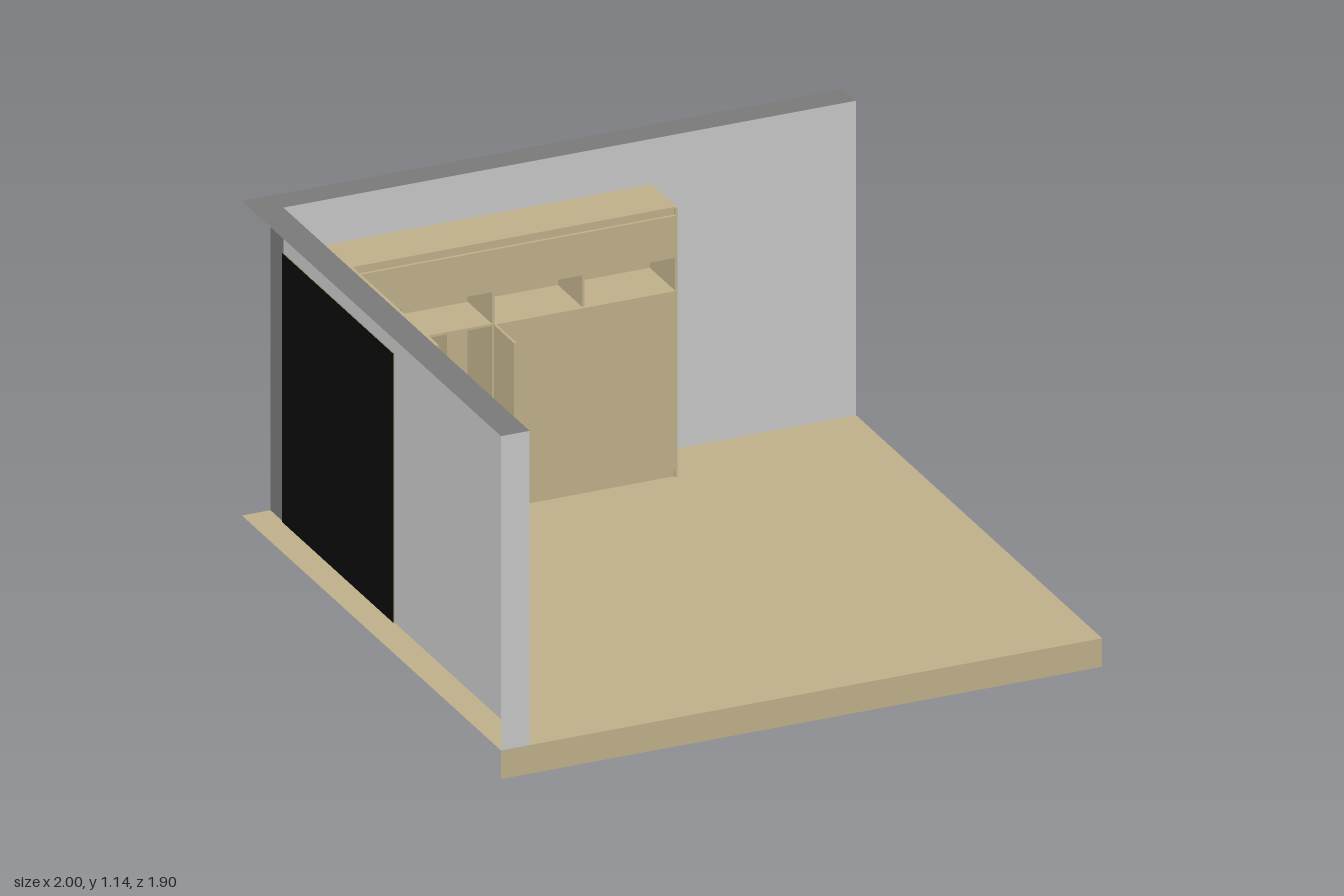
import * as THREE from 'three';

const mat = (name, color, side = THREE.FrontSide) => {
  const m = new THREE.MeshStandardMaterial({ color, side });
  m.name = name;
  return m;
};

export function createModel() {
  const wood = mat('wood', 0xbeaf89, THREE.DoubleSide);
  const paint = mat('wall paint', 0xc6c6c6, THREE.DoubleSide);
  const cut = mat('wall edge grey', 0x787878, THREE.DoubleSide);
  const black = mat('black backing', 0x0a0a0a);

  const model = new THREE.Group();
  model.name = 'roomCorner';
  let parent = model;

  const group = (name) => {
    parent = new THREE.Group();
    parent.name = name;
    model.add(parent);
  };
  // Box or, where one extent is zero, a single sheet, given by its limits
  const part = (name, m, x0, x1, y0, y1, z0, z1) => {
    const w = x1 - x0, h = y1 - y0, d = z1 - z0;
    let geo;
    if (w === 0) geo = new THREE.PlaneGeometry(d, h).rotateY(Math.PI / 2);
    else if (h === 0) geo = new THREE.PlaneGeometry(w, d).rotateX(-Math.PI / 2);
    else if (d === 0) geo = new THREE.PlaneGeometry(w, h);
    else geo = new THREE.BoxGeometry(w, h, d);
    const mesh = new THREE.Mesh(geo, m);
    mesh.name = name;
    mesh.position.set((x0 + x1) / 2, (y0 + y1) / 2, (z0 + z1) / 2);
    parent.add(mesh);
    return mesh;
  };

  const F = 0.095, H = 1.14, WX = -0.905, WZ = -0.855; // floor, wall top, inner wall faces
  const T = 0.99, t = 0.008;                           // cabinet top, board thickness

  // Floor: top and the two exposed edges, open below
  group('floor');
  part('floorTop', wood, -1, 1, F, F, -0.95, 0.95);
  part('floorFrontEdge', wood, -1, 1, 0, F, 0.95, 0.95);
  part('floorRightEdge', wood, 1, 1, 0, F, -0.95, 0.95);

  // Walls: inner faces, caps and ends, open on the outside
  group('walls');
  part('backWallFace', paint, WX, 1, F, H, WZ, WZ);
  part('sideWallFace', paint, WX, WX, F, H, WZ, 0.95);
  part('sideWallEnd', paint, -1, WX, F, H, 0.95, 0.95);
  part('backWallCap', cut, -1, 1, H, H, -0.95, WZ);
  part('sideWallCap', cut, -1, WX, H, H, WZ, 0.95);
  part('backWallEnd', cut, 1, 1, F, H, -0.95, WZ);
  part('backWallCornerEnd', cut, WX, WX, F, H, -0.95, WZ);

  // Dark cabinet backs seen through the open outer side of the walls
  group('cabinetBacking');
  part('backRunBacking', black, WX, 0.32, F, T, WZ - 0.004, WZ - 0.004).rotation.y = Math.PI;
  part('sideRunBacking', black, WX - 0.004, WX - 0.004, F, T, WZ, -0.04).rotation.y = Math.PI;

  const niche0 = 0.715, niche1 = 0.825, low = 0.235, plinth = 0.12, upper = 0.965;

  // Cabinet along the back wall
  group('backCabinet');
  const bz = -0.672, bf = -0.662, bx0 = -0.757, bx1 = 0.32;
  part('endPanel', wood, bx1 - t, bx1, F, T, WZ, bz + 0.008);
  part('backPanel', wood, WX, bx1 - t, F, T, WZ, WZ + 0.005);
  part('topBoard', wood, WX, bx1 - t, upper, T, WZ, bz);
  part('baseBoard', wood, WX, bx1 - t, F, plinth, WZ, bz);
  for (const y of [low, niche0, niche1 + t])
    part('shelfBoard', wood, WX, bx1 - t, y - t, y, WZ, bz);
  for (const x of [-0.59, -0.29, 0.01])
    part('nicheDivider', wood, x - t / 2, x + t / 2, niche0, niche1, WZ, bz);
  part('upperFront', wood, bx0, 0.315, niche1, upper, bz, bf);
  part('lowerFront', wood, bx0, 0.315, plinth, low, bz, bf);
  part('cornerDoor', wood, bx0, -0.592, low, niche0, bz, bf);
  part('wideDoor', wood, -0.288, 0.315, low, niche0, bz, bf);

  // Open compartment with its divider, shelves and two swung doors
  group('openCompartment');
  for (const x of [-0.59, -0.44, -0.29])
    part('compartmentSide', wood, x - t / 2, x + t / 2, low, niche0 - t, WZ, bz);
  for (const y of [0.48, 0.6])
    part('innerShelf', wood, -0.59, -0.44, y - t / 2, y + t / 2, WZ, bz);
  for (const x of [-0.59, -0.288])
    part('openDoor', wood, x - 0.004, x + 0.004, low, niche0, bf, -0.515);

  // Cabinet along the side wall
  group('sideCabinet');
  const sx = -0.757, sf = -0.748, sz0 = bz, sz1 = -0.04;
  part('endPanel', wood, WX, sx, F, T, sz1 - t, sz1);
  part('backPanel', wood, WX, WX + 0.005, F, T, sz0, sz1 - t);
  part('topBoard', wood, WX, sx, upper, T, sz0, sz1 - t);
  part('baseBoard', wood, WX, sx, F, plinth, sz0, sz1 - t);
  for (const y of [low, niche0, niche1 + t])
    part('shelfBoard', wood, WX, sx, y - t, y, sz0, sz1 - t);
  for (const z of [-0.35, -0.655])
    part('nicheDivider', wood, WX, sx, niche0, niche1, z - t / 2, z + t / 2);
  part('lowerFront', wood, sx, sf, plinth, low, bf, sz1 - 0.005);
  const seams = [bf, -0.5, -0.2, sz1 - 0.005];
  for (let i = 0; i < 3; i++) {
    const a = seams[i] + (i ? 0.002 : 0), b = seams[i + 1] - (i < 2 ? 0.002 : 0);
    part('lowerDoor', wood, sx, sf, low, niche0, a, b);
    part('upperDoor', wood, sx, sf, niche1, upper, a, b);
  }

  return model;
}
